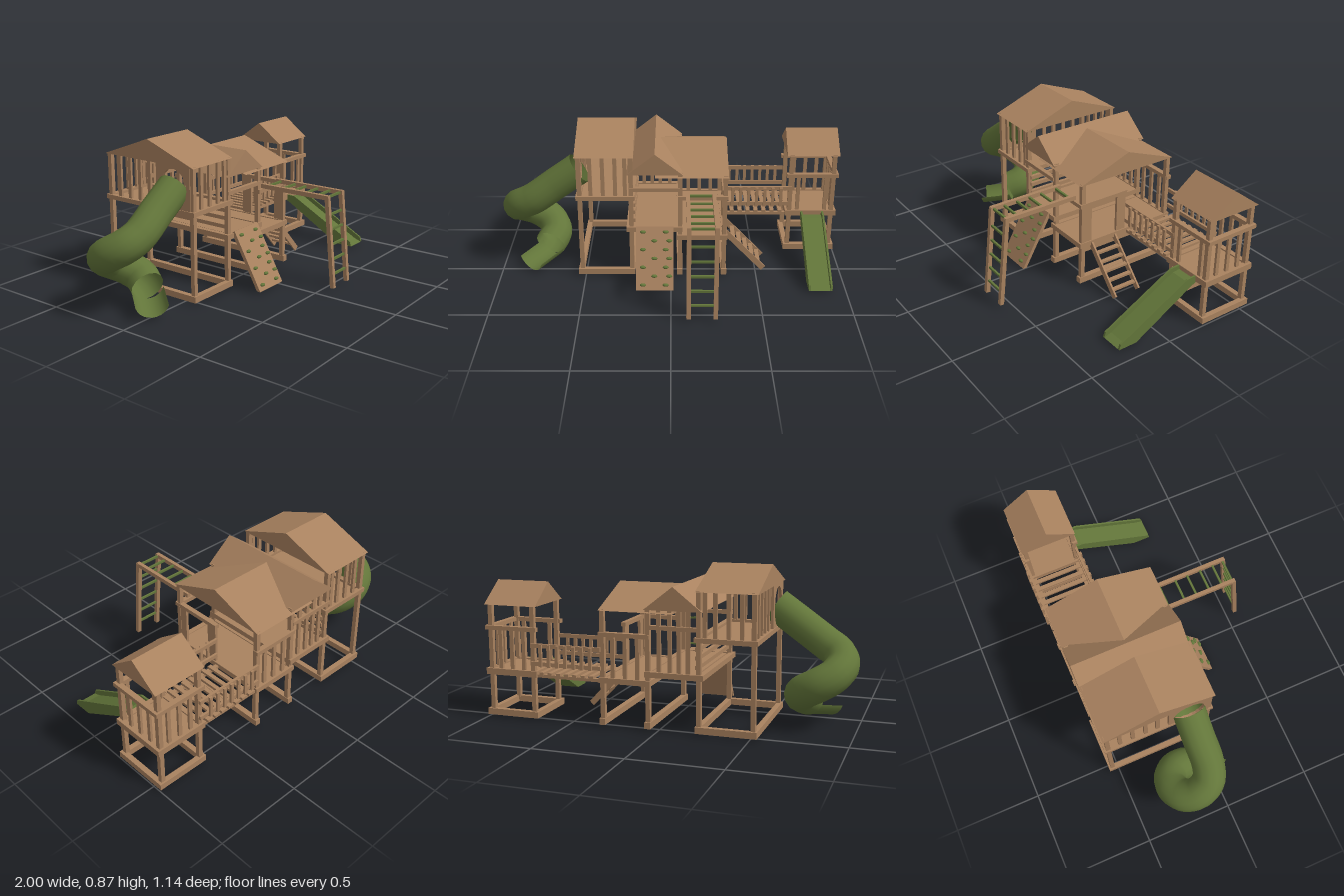
import * as THREE from 'three';

export function createModel() {
  const root = new THREE.Group();
  const wood = new THREE.MeshStandardMaterial({ color: 0xa9825f });
  wood.name = 'wood';
  const green = new THREE.MeshStandardMaterial({ color: 0x63763a, side: THREE.DoubleSide });
  green.name = 'green plastic';

  const add = (name, geo, mat = wood, parent = root) => {
    const m = new THREE.Mesh(geo, mat);
    m.name = name;
    parent.add(m);
    return m;
  };
  const group = (name) => {
    const g = new THREE.Group();
    g.name = name;
    root.add(g);
    return g;
  };
  // box given by its limits on each axis
  const box = (p, name, x0, x1, y0, y1, z0, z1, mat = wood) => {
    const m = add(name, new THREE.BoxGeometry(x1 - x0, y1 - y0, z1 - z0), mat, p);
    m.position.set((x0 + x1) / 2, (y0 + y1) / 2, (z0 + z1) / 2);
    return m;
  };
  // bar running between two points
  const bar = (p, name, a, b, w, h, mat = wood) => {
    const A = new THREE.Vector3(...a), B = new THREE.Vector3(...b);
    const m = add(name, new THREE.BoxGeometry(w, h, A.distanceTo(B)), mat, p);
    m.position.copy(A).lerp(B, 0.5);
    m.lookAt(B);
    return m;
  };
  const post = (p, x, z, y0, y1) => box(p, 'post', x - 0.0125, x + 0.0125, y0, y1, z - 0.0125, z + 0.0125);
  const polygon = (pts) => new THREE.Shape(pts.map((q) => new THREE.Vector2(...q)));
  const extrude = (shape, depth) => new THREE.ExtrudeGeometry(shape, { depth, bevelEnabled: false, curveSegments: 12 });
  // profile drawn as (z, y), extruded from x0 to x1
  const extrudeX = (shape, x0, x1) => extrude(shape, x1 - x0).rotateY(-Math.PI / 2).translate(x1, 0, 0);
  const gable = (a, b, y0, y1) => polygon([[a, y0], [b, y0], [(a + b) / 2, y1]]);
  // rails on chosen sides of a rectangle: f front, b back, l low x, r high x
  const frame = (p, name, x0, x1, z0, z1, y0, y1, sides = 'fblr') => {
    const t = 0.03;
    if (sides.includes('f')) box(p, name, x0, x1, y0, y1, z1 - t, z1);
    if (sides.includes('b')) box(p, name, x0, x1, y0, y1, z0, z0 + t);
    if (sides.includes('l')) box(p, name, x0, x0 + t, y0, y1, z0 + 0.001, z1 - 0.001);
    if (sides.includes('r')) box(p, name, x1 - t, x1, y0, y1, z0 + 0.001, z1 - 0.001);
  };
  const balustersX = (p, xs, z, y0, y1) =>
    xs.forEach((x) => box(p, 'baluster', x - 0.011, x + 0.011, y0, y1, z - 0.007, z + 0.007));
  const balustersZ = (p, zs, x, y0, y1) =>
    zs.forEach((z) => box(p, 'baluster', x - 0.007, x + 0.007, y0, y1, z - 0.011, z + 0.011));

  const ZB = -0.555, ZF = 0.085;

  // tall tower
  const tall = group('tallTower');
  for (const x of [-0.518, -0.227]) for (const z of [-0.532, 0.062]) post(tall, x, z, 0.02, 0.76);
  frame(tall, 'baseRail', -0.54, -0.21, ZB, ZF, 0.015, 0.05);
  frame(tall, 'guardRail', -0.54, -0.205, ZB, ZF, 0.495, 0.52);
  box(tall, 'floor', -0.53, -0.215, 0.492, 0.505, ZB + 0.01, ZF - 0.01);
  const tallX = [-0.455, -0.385, -0.315, -0.26];
  balustersX(tall, tallX, 0.065, 0.52, 0.76);
  balustersX(tall, tallX, -0.535, 0.52, 0.76);
  balustersZ(tall, [-0.46, -0.385, -0.31, -0.24], -0.52, 0.52, 0.76);
  add('roof', extrudeX(gable(ZB, ZF, 0.755, 0.875), -0.54, -0.21), wood, tall);
  const entry = polygon([[-0.18, 0.51], [0.055, 0.51], [0.055, 0.76], [-0.18, 0.76]]);
  const hole = new THREE.Path();
  hole.absellipse(-0.06, 0.632, 0.088, 0.105, 0, Math.PI * 2, true);
  entry.holes.push(hole);
  add('slideEntryPanel', extrudeX(entry, -0.535, -0.52), wood, tall);
  for (const y of [0.36, 0.41, 0.455]) box(tall, 'climbingSlat', -0.225, -0.205, y - 0.011, y + 0.011, -0.53, 0.06);

  // middle bay
  const mid = group('middleBay');
  for (const z of [-0.532, 0.062]) post(mid, 0.052, z, 0.02, 0.66);
  box(mid, 'baseRail', 0.035, 0.068, 0.015, 0.05, ZB, ZF);
  frame(mid, 'floorRail', -0.255, 0.065, ZB, ZF, 0.295, 0.325);
  box(mid, 'floor', -0.21, 0.05, 0.3, 0.32, ZB + 0.01, ZF - 0.01);
  box(mid, 'frontRail', -0.24, 0.05, 0.548, 0.57, 0.055, 0.08);
  box(mid, 'backRail', -0.24, 0.05, 0.548, 0.57, -0.55, -0.525);
  balustersX(mid, [-0.17, -0.12, -0.07, -0.01], -0.535, 0.325, 0.655);
  add('roof', extrude(gable(-0.25, 0.068, 0.652, 0.777), ZF - ZB).translate(0, 0, ZB), wood, mid);

  // rock wall
  const wall = group('rockWall');
  add('panel', extrudeX(polygon([[0.245, 0.015], [0.268, 0.015], [0.09, 0.335], [0.07, 0.325]]), -0.2, 0.015), wood, wall);
  const slope = (0.268 - 0.09) / 0.32;
  for (let i = 0; i < 7; i++) {
    const xs = i % 2 ? [-0.095, -0.01] : [-0.16, -0.03];
    const y = 0.045 + i * 0.044;
    for (const x of xs) {
      const grip = add('grip', new THREE.SphereGeometry(1, 8, 6), green, wall);
      grip.scale.set(0.018, 0.009, 0.012);
      grip.position.set(x, y, 0.268 - (y - 0.015) * slope + 0.004);
    }
  }

  // low tower
  const low = group('lowTower');
  for (const z of [-0.532, 0.062]) post(low, 0.308, z, 0.02, 0.64);
  box(low, 'baseRail', 0.293, 0.325, 0.015, 0.05, ZB, ZF);
  frame(low, 'floorRail', 0.035, 0.325, ZB, ZF, 0.245, 0.275);
  box(low, 'floor', 0.05, 0.31, 0.255, 0.27, ZB + 0.01, ZF - 0.01);
  frame(low, 'guardRail', 0.04, 0.325, ZB, ZF, 0.497, 0.52, 'fb');
  box(low, 'guardRail', 0.296, 0.324, 0.497, 0.52, -0.235, ZF);
  balustersX(low, [0.11, 0.18, 0.25], -0.535, 0.275, 0.5);
  box(low, 'sidePanel', 0.302, 0.318, 0.275, 0.5, 0.005, 0.055);
  box(low, 'sidePanel', 0.302, 0.318, 0.275, 0.5, -0.23, -0.17);
  add('roof', extrudeX(gable(ZB, ZF, 0.635, 0.755), -0.09, 0.325), wood, low);

  // monkey bars
  const monkey = group('monkeyBars');
  for (const x of [0.095, 0.242]) {
    box(monkey, 'beam', x - 0.011, x + 0.011, 0.52, 0.545, 0.065, 0.515);
    bar(monkey, 'leg', [x, 0.018, 0.557], [x, 0.54, 0.505], 0.024, 0.024);
  }
  for (const z of [0.1, 0.2, 0.275, 0.355, 0.435, 0.5])
    bar(monkey, 'overheadRung', [0.095, 0.533, z], [0.242, 0.533, z], 0.012, 0.012, green);
  for (const y of [0.095, 0.18, 0.265, 0.35, 0.435]) {
    const z = 0.557 - (y - 0.018) * 0.1;
    bar(monkey, 'legRung', [0.095, y, z], [0.242, y, z], 0.012, 0.012, green);
  }

  // sloping step ladder
  const ladder = group('stepLadder');
  for (const z of [0.005, -0.155]) bar(ladder, 'stringer', [0.318, 0.255, z], [0.547, 0.014, z], 0.011, 0.034);
  for (let i = 0; i < 5; i++) {
    const x = 0.365 + i * 0.038, y = 0.21 - i * 0.04;
    box(ladder, 'step', x - 0.012, x + 0.012, y - 0.006, y + 0.006, -0.155, 0.005);
  }

  // bridge
  const bridge = group('bridge');
  for (const z of [-0.53, -0.25]) box(bridge, 'beam', 0.325, 0.7, 0.245, 0.262, z - 0.012, z + 0.012);
  for (let i = 0; i < 7; i++) {
    const x = 0.37 + i * 0.0485;
    box(bridge, 'plank', x - 0.012, x + 0.012, 0.262, 0.277, -0.555, -0.235);
    for (const z of [-0.563, -0.225]) box(bridge, 'baluster', x - 0.009, x + 0.009, 0.31, 0.432, z - 0.006, z + 0.006);
  }
  for (const z of [-0.55, -0.238]) for (const y of [0.323, 0.424])
    box(bridge, 'handrail', 0.315, 0.725, y - 0.011, y + 0.011, z - 0.007, z + 0.007);

  // small end tower
  const end = group('endTower');
  for (const x of [0.718, 0.972]) for (const z of [-0.532, -0.247]) post(end, x, z, 0.02, 0.64);
  frame(end, 'baseRail', 0.692, 1, ZB, -0.225, 0.015, 0.05);
  frame(end, 'floorRail', 0.692, 1, ZB, -0.225, 0.245, 0.28);
  box(end, 'floor', 0.71, 0.985, 0.255, 0.272, ZB + 0.01, -0.235);
  frame(end, 'guardRail', 0.692, 1, ZB, -0.225, 0.497, 0.52, 'fbr');
  balustersX(end, [0.775, 0.845, 0.915], -0.535, 0.28, 0.5);
  balustersX(end, [0.765, 0.93], -0.243, 0.28, 0.5);
  balustersZ(end, [-0.465, -0.39, -0.315], 0.975, 0.28, 0.5);
  add('roof', extrudeX(gable(ZB, -0.23, 0.635, 0.755), 0.69, 1), wood, end);

  // straight slide: two side walls and a sunken bed
  const slide = group('straightSlide');
  const side = polygon([[-0.235, 0.24], [-0.2, 0.225], [0.16, 0.015], [0.27, 0.015], [0.26, 0.045], [-0.17, 0.275], [-0.235, 0.278]]);
  const bed = polygon([[-0.235, 0.24], [-0.2, 0.225], [0.16, 0.015], [0.27, 0.015], [0.225, 0.03], [-0.18, 0.25], [-0.235, 0.255]]);
  add('sideWall', extrudeX(side, 0.785, 0.796), green, slide);
  add('sideWall', extrudeX(side, 0.91, 0.921), green, slide);
  add('bed', extrudeX(bed, 0.796, 0.91), green, slide);

  // spiral tube slide with an open run-out
  const tube = group('tubeSlide');
  const pts = [[-0.525, 0.635, -0.06], [-0.66, 0.54, -0.06], [-0.8, 0.44, -0.06]];
  for (let i = 1; i <= 5; i++) {
    const a = (i * Math.PI) / 4;
    pts.push([-0.8 - 0.108 * Math.sin(a), 0.44 - i * 0.0465, -0.168 + 0.108 * Math.cos(a)]);
  }
  pts.push([-0.692, 0.165, -0.168], [-0.722, 0.13, -0.09]);
  const path = new THREE.CatmullRomCurve3(pts.map((q) => new THREE.Vector3(...q)), false, 'centripetal');
  add('tube', new THREE.TubeGeometry(path, 48, 0.092, 14, false), green, tube);
  const a = new THREE.Vector3(-0.712, 0.138, -0.1), b = new THREE.Vector3(-0.83, 0.105, 0.043);
  const scoop = add('runOut', new THREE.CylinderGeometry(0.09, 0.09, a.distanceTo(b), 10, 1, true, -Math.PI * 0.42, Math.PI * 0.84)
    .rotateX(Math.PI / 2), green, tube);
  scoop.position.copy(a).lerp(b, 0.5);
  scoop.lookAt(b);

  return root;
}
